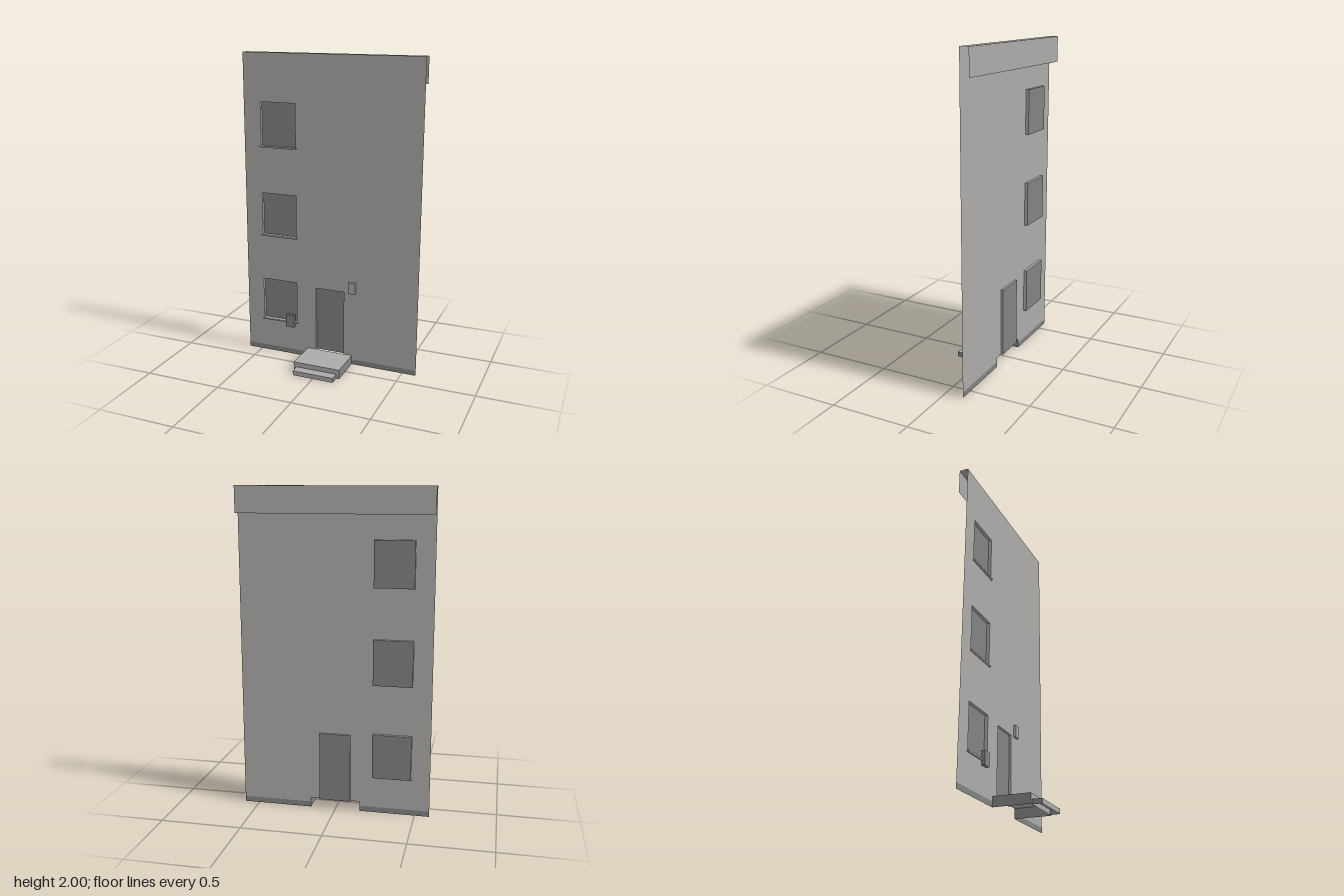
import * as THREE from 'three';

const plaster = new THREE.MeshStandardMaterial({ name: 'plaster grey', color: 0xadaba8, side: THREE.DoubleSide });
const dark = new THREE.MeshStandardMaterial({ name: 'dark grey', color: 0x828282, side: THREE.DoubleSide });

const W = 0.592, WALL = -0.117, BACK = -0.173;
const DOOR = 0.098, DOOR_TOP = 0.497, STEP = 0.157, STEP_TOP = 0.062, PLINTH = 0.034;
const WIN_L = -0.476, WIN_R = -0.235, WIN_H = 0.28;
const WIN_BOTTOMS = [0.234, 0.824, 1.414];

// Flat rectangle from a corner and two edge vectors
function panel(parent, name, mat, corner, u, v) {
  const p = new THREE.Vector3(...corner), a = new THREE.Vector3(...u), b = new THREE.Vector3(...v);
  const geo = new THREE.BufferGeometry().setFromPoints(
    [p, p.clone().add(a), p.clone().add(a).add(b), p.clone().add(b)]);
  geo.setIndex([0, 1, 2, 0, 2, 3]);
  geo.computeVertexNormals();
  const mesh = new THREE.Mesh(geo, mat);
  mesh.name = name;
  parent.add(mesh);
}

// Solid box given by its two extreme corners
function block(parent, name, mat, x0, x1, y0, y1, z0, z1) {
  const mesh = new THREE.Mesh(new THREE.BoxGeometry(x1 - x0, y1 - y0, z1 - z0), mat);
  mesh.position.set((x0 + x1) / 2, (y0 + y1) / 2, (z0 + z1) / 2);
  mesh.name = name;
  parent.add(mesh);
}

// Pane set back from the wall with thin reveals around it
function recess(parent, name, x0, x1, y0, y1, depth, withBottom) {
  const g = new THREE.Group();
  g.name = name;
  const z = WALL - depth, w = x1 - x0, h = y1 - y0;
  panel(g, name + 'Pane', dark, [x0, y0, z], [w, 0, 0], [0, h, 0]);
  for (const x of [x0, x1]) panel(g, 'sideReveal', plaster, [x, y0, z], [0, 0, depth], [0, h, 0]);
  panel(g, 'topReveal', plaster, [x0, y1, z], [w, 0, 0], [0, 0, depth]);
  if (withBottom) panel(g, 'bottomReveal', plaster, [x0, y0, z], [0, 0, depth], [w, 0, 0]);
  parent.add(g);
}

// Hollow step, open below and behind
function step(parent, name, hw, h, z0, z1) {
  const g = new THREE.Group(), d = z1 - z0;
  g.name = name;
  panel(g, 'tread', plaster, [-hw, h, z1], [2 * hw, 0, 0], [0, 0, -d]);
  panel(g, 'riser', plaster, [-hw, 0, z1], [2 * hw, 0, 0], [0, h, 0]);
  panel(g, 'leftCheek', dark, [hw, 0, z1], [0, 0, -d], [0, h, 0]);
  panel(g, 'rightCheek', dark, [-hw, 0, z0], [0, 0, d], [0, h, 0]);
  parent.add(g);
}

export function createModel() {
  const model = new THREE.Group();
  model.name = 'houseFacade';

  // Wall sheet with doorway, step notch and window openings
  const outline = [
    [-W, PLINTH], [-STEP, PLINTH], [-STEP, STEP_TOP], [-DOOR, STEP_TOP], [-DOOR, DOOR_TOP],
    [DOOR, DOOR_TOP], [DOOR, STEP_TOP], [STEP, STEP_TOP], [STEP, PLINTH], [W, PLINTH],
    [W, 1.99], [-W, 1.99]];
  const shape = new THREE.Shape(outline.map(([x, y]) => new THREE.Vector2(x, y)));
  for (const y of WIN_BOTTOMS) {
    shape.holes.push(new THREE.Path([[WIN_L, y], [WIN_L, y + WIN_H], [WIN_R, y + WIN_H], [WIN_R, y]]
      .map(([a, b]) => new THREE.Vector2(a, b))));
  }
  const wall = new THREE.Mesh(new THREE.ShapeGeometry(shape), plaster);
  wall.name = 'wall';
  wall.position.z = WALL;
  model.add(wall);

  // Plinth on both sides of the steps
  for (const x of [-W, STEP]) panel(model, 'plinth', dark, [x, 0, WALL], [W - STEP, 0, 0], [0, PLINTH, 0]);

  // Roof edge: front lip, top and rear apron
  panel(model, 'capLip', plaster, [-W, 1.99, WALL], [2 * W, 0, 0], [0, 0.01, 0]);
  panel(model, 'capTop', plaster, [-W, 2, WALL], [2 * W, 0, 0], [0, 0, BACK - WALL]);
  panel(model, 'rearApron', plaster, [W, 1.84, BACK], [-2 * W, 0, 0], [0, 0.16, 0]);

  // Windows with sills
  for (const y of WIN_BOTTOMS) {
    recess(model, 'window', WIN_L, WIN_R, y, y + WIN_H, 0.02, true);
    block(model, 'windowSill', plaster, -0.482, -0.228, y - 0.009, y + 0.001, WALL, -0.107);
  }

  // Door and front steps
  recess(model, 'door', -DOOR, DOOR, STEP_TOP, DOOR_TOP, 0.014, false);
  step(model, 'upperStep', STEP, STEP_TOP, WALL, 0.113);
  step(model, 'lowerStep', 0.137, 0.03, 0.113, 0.173);

  // Wall-mounted boxes
  block(model, 'mailbox', dark, -0.307, -0.248, 0.2, 0.285, WALL, -0.096);
  block(model, 'doorbellBox', plaster, 0.133, 0.18, 0.496, 0.572, WALL, -0.101);

  return model;
}
